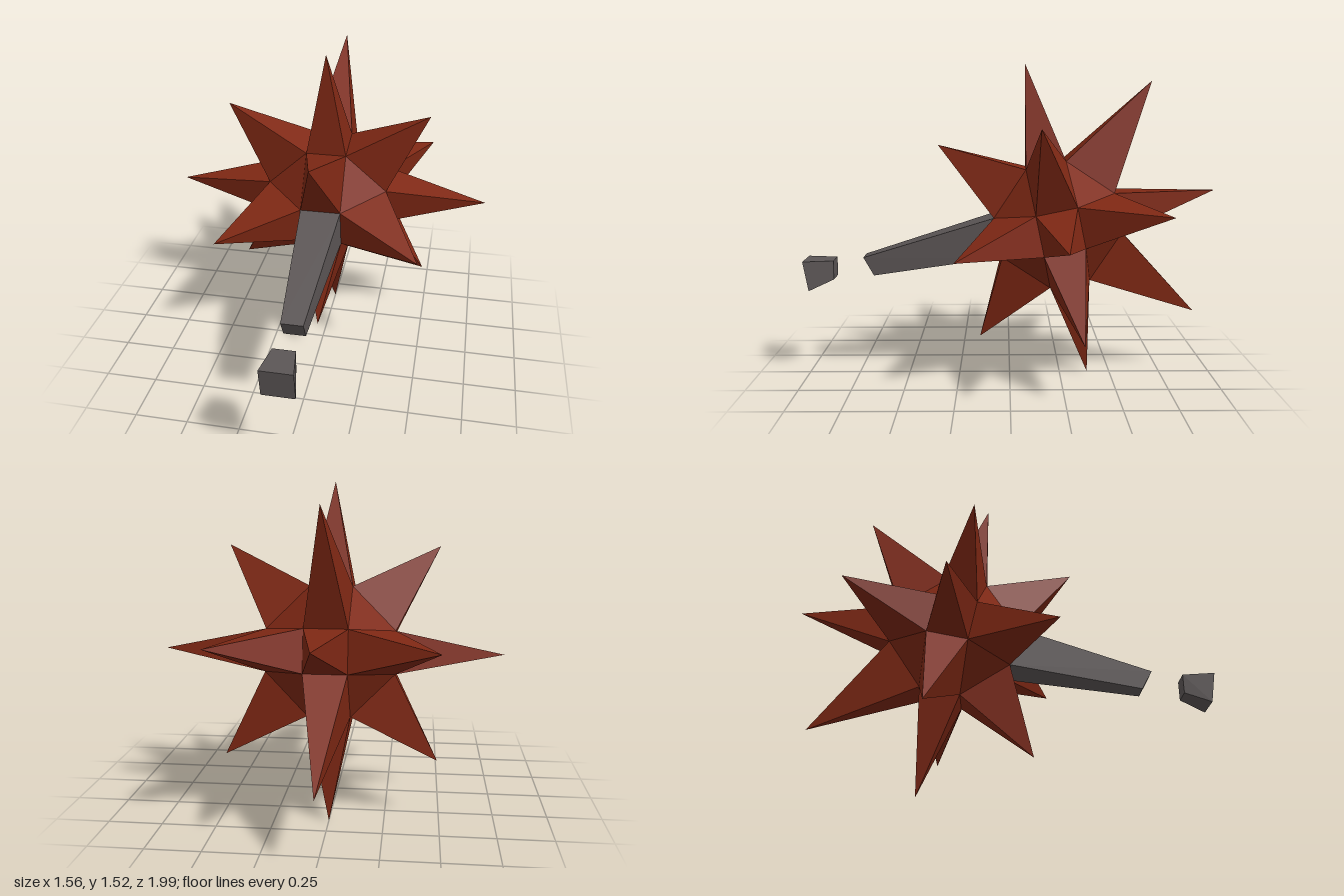
import * as THREE from 'three';
import { ConvexGeometry } from 'three/addons/geometries/ConvexGeometry.js';

const V = (x, y, z) => new THREE.Vector3(x, y, z);
const red = new THREE.MeshStandardMaterial({ color: 0x7f2814, flatShading: true });
const grey = new THREE.MeshStandardMaterial({ color: 0x5c5656, flatShading: true });

// Flat triangles, each wound to face away from an inner point
function facets(triangles, inner) {
  const pts = [];
  for (const [a, b, c] of triangles) {
    const n = b.clone().sub(a).cross(c.clone().sub(a));
    pts.push(...(n.dot(a.clone().sub(inner)) < 0 ? [a, c, b] : [a, b, c]));
  }
  const g = new THREE.BufferGeometry().setFromPoints(pts);
  g.computeVertexNormals();
  return g;
}

function add(parent, name, geometry, material) {
  const mesh = new THREE.Mesh(geometry, material);
  mesh.name = name;
  parent.add(mesh);
}

// Eight corners of a tapered block from two rectangles: [half width, top y, top z, bottom y, bottom z]
function taper(...ends) {
  const pts = [];
  for (const [w, y1, z1, y2, z2] of ends)
    for (const x of [-w, w]) pts.push(V(x, y1, z1), V(x, y2, z2));
  return new ConvexGeometry(pts);
}

export function createModel() {
  const model = new THREE.Group();
  const head = new THREE.Group();
  head.name = 'spikedHead';
  head.position.set(0, 0.771, -0.23);
  head.rotation.x = 0.205;
  model.add(head);

  // Core corners: a small square on each side of a bevelled cube
  const s = 0.0965, f = 0.292;
  const corners = [];
  for (const i of [-1, 1]) for (const j of [-1, 1]) for (const k of [-1, 1])
    corners.push(V(i * f, j * s, k * s), V(i * s, j * f, k * s), V(i * s, j * s, k * f));

  for (const x of [-1, 0, 1]) for (const y of [-1, 0, 1]) for (const z of [-1, 0, 1]) {
    const dir = V(x, y, z);
    const kind = Math.abs(x) + Math.abs(y) + Math.abs(z);
    if (kind === 0) continue;
    const reach = Math.max(...corners.map(c => c.dot(dir)));
    const base = corners.filter(c => c.dot(dir) > reach - 1e-4);

    // Flat triangles between the spikes
    if (kind === 3) {
      add(head, 'coreFacet', facets([base], V(0, 0, 0)), red);
      continue;
    }
    if (kind === 1 && z === 1) continue; // handle side

    // Sort the base corners around the spike axis
    const u = (x === 0 ? V(1, 0, 0) : V(-y, x, 0).lengthSq() && z === 0 ? V(0, 0, 1) : V(0, 1, 0));
    const v = dir.clone().cross(u).normalize();
    const angle = p => Math.atan2(p.dot(v), p.dot(u));
    base.sort((a, b) => angle(a) - angle(b));

    // Long spikes on the sides, shorter on the bevels, longer on the two rear bevels
    const length = kind === 1 ? 0.778 : (x === 0 && z === -1 ? 0.575 : 0.486);
    const tip = dir.clone().multiplyScalar(length);
    const inner = dir.clone().multiplyScalar(reach / dir.lengthSq());
    add(head, 'spike', facets(base.map((p, i) => [p, base[(i + 1) % 4], tip]), inner), red);
  }

  // Tapered handle growing from the front square
  add(head, 'handle', taper([s, s, f, -s, f], [0.05, 0.03, 0.953, -0.067, 0.923]), grey);

  // Loose end block in front of the handle
  add(model, 'endBlock', taper([0.05, 0.59, 0.855, 0.498, 0.855], [0.073, 0.59, 1.0, 0.445, 0.975]), grey);

  return model;
}
